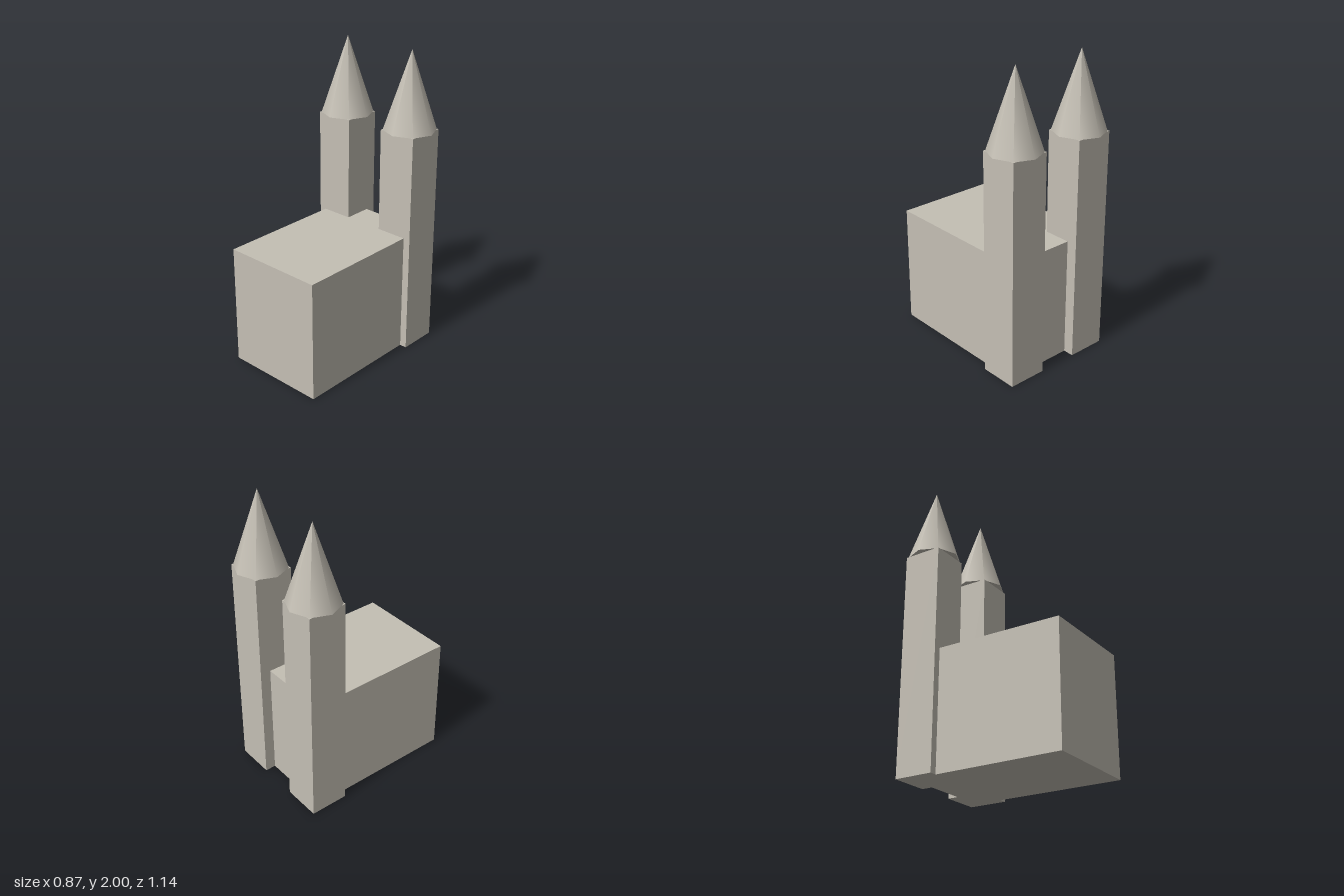
import * as THREE from 'three';

export function createModel() {
  const model = new THREE.Group();
  model.name = 'twinTowerChurch';
  const stone = new THREE.MeshStandardMaterial({ color: 0xc4bfb4 });
  stone.name = 'pale stone';

  const add = (name, geometry, x, y, z) => {
    const mesh = new THREE.Mesh(geometry, stone);
    mesh.name = name;
    mesh.position.set(x, y, z);
    model.add(mesh);
  };

  // Main hall
  add('hall', new THREE.BoxGeometry(0.686, 0.8, 1.03), 0, 0.4, 0.056);

  // Square towers with eight-sided smooth spires
  const towerHeight = 1.487, spireHeight = 2 - towerHeight;
  for (const [side, x] of [['left', 0.262], ['right', -0.262]]) {
    add(side + 'Tower', new THREE.BoxGeometry(0.257, towerHeight, 0.257), x, towerHeight / 2, -0.402);
    add(side + 'Spire', new THREE.ConeGeometry(0.171, spireHeight, 8), x, towerHeight + spireHeight / 2, -0.402);
  }
  return model;
}
